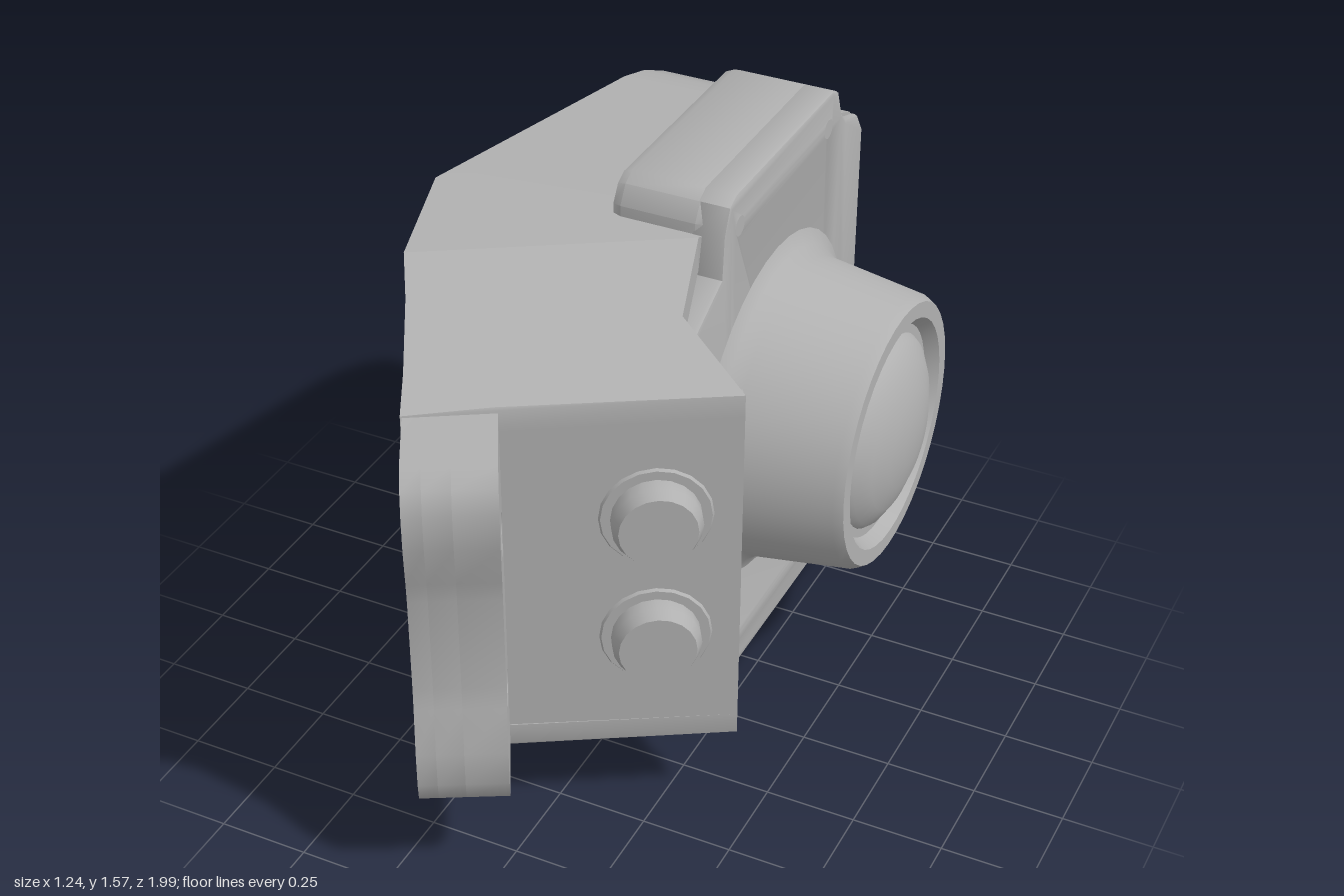
import * as THREE from 'three';
import { toCreasedNormals } from 'three/addons/utils/BufferGeometryUtils.js';
import { ConvexGeometry } from 'three/addons/geometries/ConvexGeometry.js';

const MID = 0.785; // height of the symmetry plane
const flip = y => 2 * MID - y;
const lerp = THREE.MathUtils.lerp;

export function createModel() {
  const model = new THREE.Group();
  const grey = new THREE.MeshStandardMaterial({ color: 0xb0b0b0 });
  grey.name = 'housing grey';

  const add = (name, geo, parent = model) => {
    const mesh = new THREE.Mesh(toCreasedNormals(geo, 0.6), grey);
    mesh.name = name;
    parent.add(mesh);
    return mesh;
  };
  const shapeOf = pts => new THREE.Shape(pts.map(p => new THREE.Vector2(...p)));
  // closes an upper half outline with its mirror image
  const mirrored = pts => shapeOf([...pts, ...pts.map(([a, y]) => [a, flip(y)]).reverse()]);
  const hole = (shape, x, y, r) => shape.holes.push(new THREE.Path().absarc(x, y, r, 0, Math.PI * 2, true));
  const extrude = (shape, depth, bevel = 0) => new THREE.ExtrudeGeometry(shape, {
    depth, curveSegments: 10, bevelEnabled: bevel > 0, bevelThickness: bevel,
    bevelSize: bevel, bevelOffset: -bevel, bevelSegments: 2,
  });
  const hull = pts => new ConvexGeometry(pts.map(p => new THREE.Vector3(...p)));

  // Rear shell: C-shaped wall section, open on the -x side with an angled rim
  const M = -0.15;
  const shell = extrude(mirrored([
    [-1, 1.34], [-0.985, 1.38], [-0.94, 1.425], [-0.86, 1.457], [-0.78, 1.47], [M, 1.47],
    [M, 1.35], [-0.83, 1.35], [-0.885, 1.325], [-0.9, 1.28],
  ]), 1).rotateY(-Math.PI / 2);
  const pos = shell.attributes.position;
  for (let i = 0; i < pos.count; i++) {
    const left = pos.getX(i) < -0.5;
    let z = pos.getZ(i);
    if (left && Math.abs(z - M) < 1e-4) z = -0.04;
    pos.setX(i, left ? lerp(-0.38, -0.62, (z + 1) / 0.96) : 0.18);
    pos.setZ(i, z);
  }
  shell.computeVertexNormals();
  add('shell', shell);

  // Roof and floor run forward, then step down to the button panel: [x, z, height, thickness]
  const slabs = [
    [[-0.62, -0.04, 1.47, 0.12], [0.18, -0.15, 1.47, 0.12], [0.13, -0.06, 1.47, 0.1], [-0.5, 0.33, 1.47, 0.13]],
    [[-0.5, 0.33, 1.47, 0.13], [0.13, -0.06, 1.47, 0.1], [0.2, 0.18, 1.39, 0.09], [-0.38, 0.53, 1.39, 0.1]],
    [[-0.38, 0.53, 1.39, 0.1], [0.2, 0.18, 1.39, 0.09], [0.44, 0.33, 1.315, 0.06], [-0.08, 0.64, 1.315, 0.06],
      [-0.27, 0.76, 1.305, 0.06]],
  ];
  for (const up of [true, false])
    for (const slab of slabs)
      add(up ? 'roof' : 'floor', hull(slab.flatMap(([x, z, y, t]) =>
        [y, y - t].map(h => [x, up ? h : flip(h), z]))));

  // Inner tray wall closing the shell behind the side plate
  add('innerWall', extrude(mirrored([
    [0.18, 1.24], [-0.06, 1.355], [-0.95, 1.355],
  ].reverse()), 0.42).rotateY(-Math.PI / 2)).position.x = 0.12;

  // Latch block and tab on the inner wall
  add('latchBlock', new THREE.BoxGeometry(0.18, 0.32, 0.12)).position.set(-0.39, 0.615, 0.12);
  add('latchTab', new THREE.BoxGeometry(0.12, 0.26, 0.08)).position.set(-0.54, 0.615, 0.06);

  // Slanted panel that carries the buttons
  add('buttonPanel', hull([[0.44, 0.33], [0.41, 0.28], [-0.1, 0.53], [-0.08, 0.64]]
    .flatMap(([x, z]) => [[x, 0.275, z], [x, 1.295, z]])));

  // Buttons with a thin collar
  for (const y of [0.97, 0.6]) {
    const button = new THREE.Group();
    button.name = 'button';
    button.position.set(0.255, y, 0.44);
    button.rotation.y = Math.atan2(0.51, 0.86);
    const profile = [[0.145, 0], [0.14, 0.008], [0.115, 0.008], [0.115, 0.045], [0.1, 0.075], [0, 0.075]];
    add('buttonCap', new THREE.LatheGeometry(profile.map(p => new THREE.Vector2(...p)), 20)
      .rotateX(Math.PI / 2), button);
    model.add(button);
  }

  // Mounting flange in three drilled layers; only the outermost has the notch
  const flange = new THREE.Group();
  flange.name = 'flange';
  flange.position.set(-0.5, 0, 0.33);
  flange.rotation.y = -Math.atan2(0.878, 0.479);
  model.add(flange);
  const end = [[0.715, 0.92], [0.725, 0.98], [0.755, 1.1], [0.755, 1.2], [0.735, 1.26], [0.69, 1.3], [0.45, 1.3]];
  const layers = [
    { name: 'flangeFace', root: [[0, 1.37], [0, 0.89], [0.1, 0.88], [0.24, 0.85], [0.34, 0.81]], top: 0, depth: 0.05, bore: 0.11 },
    { name: 'flangeCore', root: [[0, 1.35]], top: 0.05, depth: 0.07, bore: 0.11 },
    { name: 'flangeBack', root: [[0.3, 1.31], [0.06, 1.33]], top: 0.12, depth: 0.11, bore: 0.057 },
  ];
  for (const { name, root, top, depth, bore } of layers) {
    const shape = mirrored([...end, ...root]);
    for (const s of [1, -1]) {
      hole(shape, bore > 0.1 ? 0.53 : 0.59, MID + s * 0.24, bore);
      if (top < 0.1) hole(shape, 0.105, MID + s * 0.295, 0.035);
    }
    add(name, extrude(shape, depth), flange).position.z = -top - depth;
  }

  // Side plate with softened edges and four sunken screws
  const plate = mirrored([
    [0.18, 1.24], [-0.06, 1.36], [-0.07, 1.48], [-0.1, 1.55], [-0.14, 1.57], [-0.77, 1.57],
    [-0.81, 1.55], [-0.84, 1.47], [-0.87, 1.44], [-0.96, 1.41], [-1, 1.35],
  ].reverse());
  for (const z of [-0.16, -0.74])
    for (const y of [1.47, flip(1.47)]) {
      hole(plate, z, y, 0.04);
      add('screw', new THREE.CylinderGeometry(0.05, 0.05, 0.06, 16).rotateZ(Math.PI / 2))
        .position.set(0.125, y, z);
    }
  add('sidePlate', extrude(plate, 0.076, 0.012).rotateY(-Math.PI / 2)).position.x = 0.188;

  // Rounded bosses above and below, behind the screw holes
  const boss = [[-0.84, 1.38], [-0.07, 1.38], [-0.07, 1.5], [-0.1, 1.55], [-0.14, 1.57],
    [-0.77, 1.57], [-0.81, 1.55], [-0.84, 1.5]];
  for (const up of [true, false])
    add(up ? 'topBoss' : 'bottomBoss',
      extrude(shapeOf(up ? boss : boss.map(([z, y]) => [z, flip(y)])), 0.21, 0.035)
        .rotateY(-Math.PI / 2)).position.x = 0.115;

  // Lens barrel with flared foot, recessed ring and domed lens
  const barrel = [[0.49, 0.2], [0.45, 0.22], [0.425, 0.26], [0.385, 0.54], [0.37, 0.565], [0.325, 0.565],
    [0.3, 0.53], [0.275, 0.53]];
  const dome = [[0.275, 0.53], [0.26, 0.55], [0.21, 0.58], [0.14, 0.605], [0.07, 0.617], [0, 0.62]];
  for (const [name, pts] of [['lensBarrel', barrel], ['lensDome', dome]])
    add(name, new THREE.LatheGeometry(pts.map(p => new THREE.Vector2(...p)), 40).rotateZ(-Math.PI / 2))
      .position.set(0, MID, -0.41);

  return model;
}
